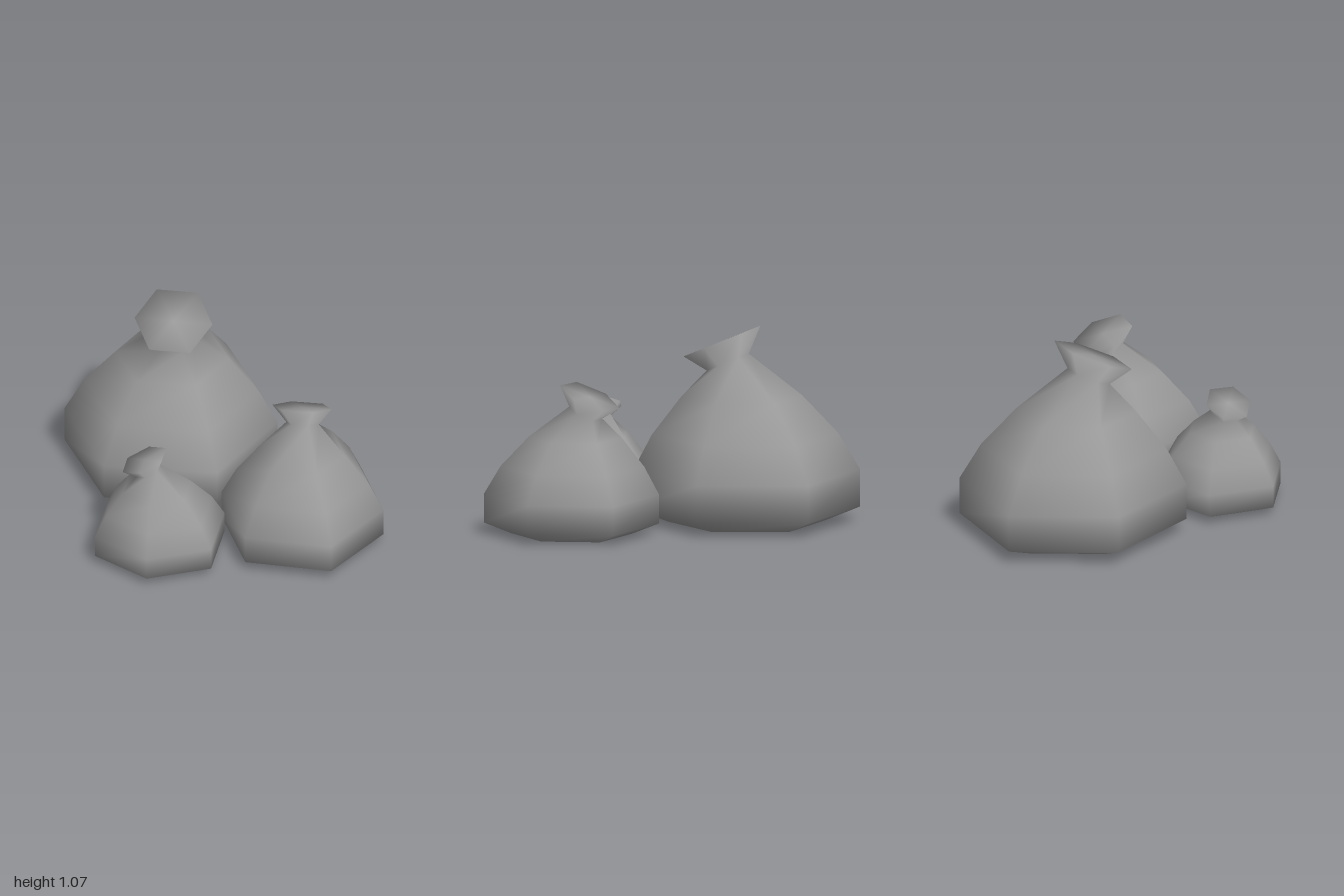
import * as THREE from 'three';

// Half of the six-sided footprint; the other half is its point mirror
const HALF = [[0.56, 0.262], [0.055, 0.615], [-0.48, 0.33]];
const CORNERS = [...HALF, ...HALF.map(([x, z]) => [-x, -z])];
const N = CORNERS.length;

// Cross-sections from ground to mouth: height, scale, x shift, z shift, tilt
const RINGS = [
  [0, 0.69, 0, 0, 0],
  [0.075, 1, 0, 0, 0],
  [0.28, 1, 0, 0, 0],
  [0.48, 0.82, 0.005, 0.005, 0],
  [0.69, 0.53, 0.02, 0.015, 0],
  [0.87, 0.2, 0.075, 0.075, 1],
  [0.985, 0.365, 0.1, 0.095, 1],
];
const TILT = [-0.28, -0.34]; // slope of the neck and mouth along x and z

// A tilted ring also narrows a little along its slope
function ringPoints([y, s, dx, dz, tilt]) {
  return CORNERS.flatMap(([cx, cz]) => {
    const slope = tilt * s * (cx * TILT[0] + cz * TILT[1]);
    const x = cx * s - 0.46 * slope * TILT[0];
    const z = cz * s - 0.46 * slope * TILT[1];
    return [x + dx, y + tilt * (x * TILT[0] + z * TILT[1]), z + dz];
  });
}

// Smooth sack wall, open underneath, its mouth closed by a fan around the centre
function sackGeometry() {
  const [mouthY, , mouthX, mouthZ] = RINGS.at(-1);
  const positions = [...RINGS.flatMap(ringPoints), mouthX, mouthY, mouthZ];
  const top = (RINGS.length - 1) * N;
  const centre = top + N;
  const index = [];
  for (let k = 0; k < N; k++) {
    const next = (k + 1) % N;
    for (let i = 0; i < top; i += N) {
      const a = i + k, b = i + next;
      index.push(a, a + N, b, b, a + N, b + N);
    }
    index.push(centre, top + next, top + k);
  }
  const g = new THREE.BufferGeometry();
  g.setAttribute('position', new THREE.Float32BufferAttribute(positions, 3));
  g.setIndex(index);
  g.computeVertexNormals();
  return g;
}

export function createModel() {
  const model = new THREE.Group();
  model.name = 'tiedSacks';
  const material = new THREE.MeshStandardMaterial({ color: 0x989898, side: THREE.DoubleSide });
  const geometry = sackGeometry();

  // One sack shape placed three times: name, x, z, size, turn in degrees
  const placements = [
    ['largeSack', -0.438, -0.215, 1, 0],
    ['mediumSack', 0.588, -0.125, 0.77, -184.5],
    ['smallSack', 0.112, 0.507, 0.6, -95],
  ];
  for (const [name, x, z, size, turn] of placements) {
    const sack = new THREE.Mesh(geometry, material);
    sack.name = name;
    sack.position.set(x, 0, z);
    sack.scale.setScalar(size);
    sack.rotation.y = THREE.MathUtils.degToRad(turn);
    model.add(sack);
  }
  return model;
}
